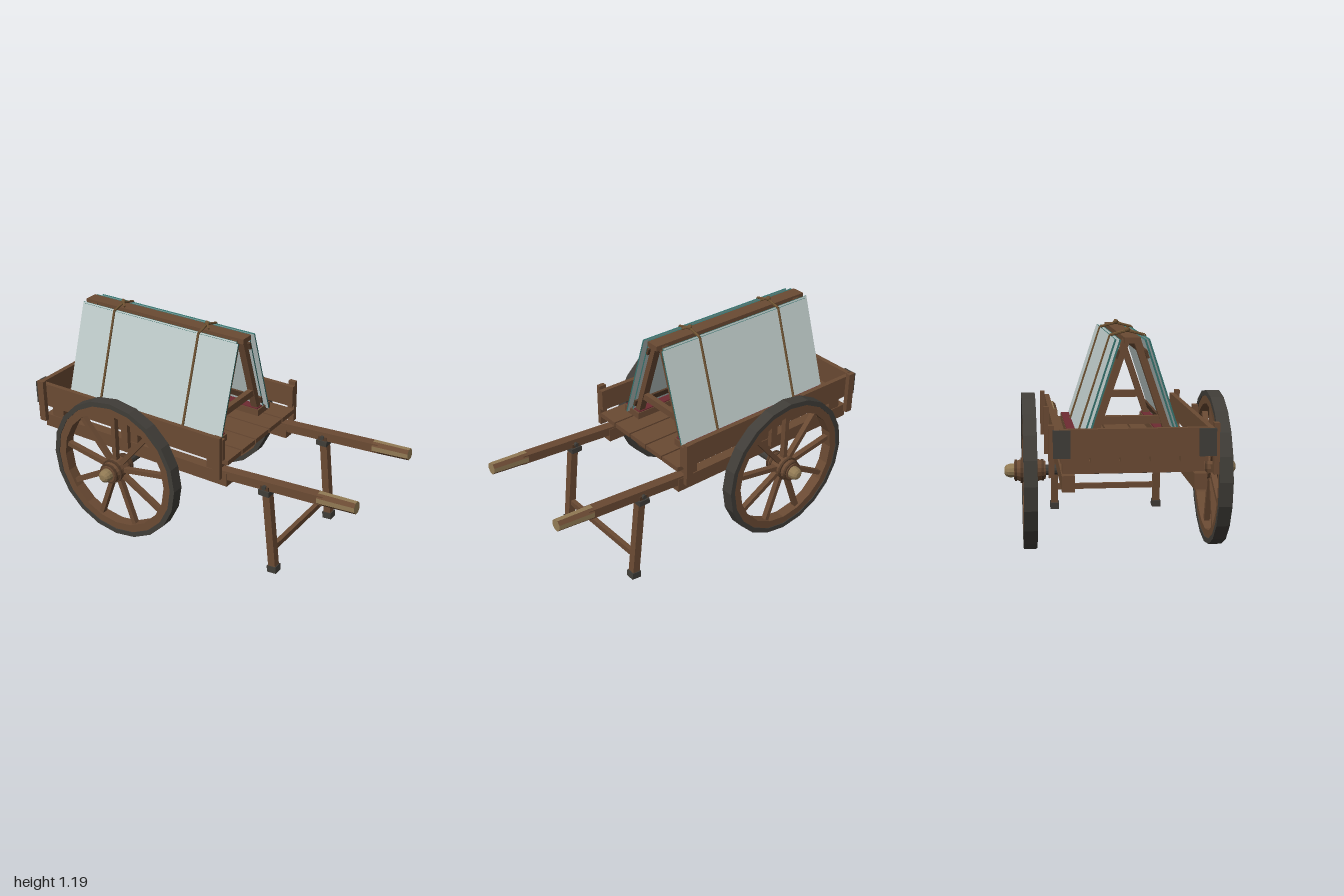
import * as THREE from 'three';

const mat = (name, color) => {
  const m = new THREE.MeshStandardMaterial({ color });
  m.name = name;
  return m;
};

export function createModel() {
  const wood = mat('wood', 0x6a4a33);
  const darkWood = mat('dark wood', 0x533a28);
  const iron = mat('iron', 0x403d38);
  const tan = mat('worn wood', 0x917a54);
  const glass = mat('glass', 0xbecbc9);
  const edge = mat('glass edge', 0x35716c);
  const felt = mat('red felt', 0x6e2b32);
  const rope = mat('rope', 0x6b5030);

  const model = new THREE.Group();
  model.name = 'glassHandcart';

  // Facet a geometry so every side reads flat
  const flat = (g) => {
    const f = g.index ? g.toNonIndexed() : g;
    f.computeVertexNormals();
    return f;
  };
  const add = (name, geo, m, parent = model) => {
    const mesh = new THREE.Mesh(geo, m);
    mesh.name = name;
    parent.add(mesh);
    return mesh;
  };
  // Box given by its limits on each axis
  const box = (name, m, x0, x1, y0, y1, z0, z1, parent = model) => {
    const mesh = add(name, new THREE.BoxGeometry(x1 - x0, y1 - y0, Math.abs(z1 - z0)), m, parent);
    mesh.position.set((x0 + x1) / 2, (y0 + y1) / 2, (z0 + z1) / 2);
    return mesh;
  };
  // Part whose length (local y) runs between two points
  const span = (name, m, a, b, make, parent = model) => {
    const p = new THREE.Vector3(...a), q = new THREE.Vector3(...b);
    const d = q.clone().sub(p);
    const mesh = add(name, make(d.length()), m, parent);
    mesh.position.copy(p).add(q).multiplyScalar(0.5);
    mesh.quaternion.setFromUnitVectors(new THREE.Vector3(0, 1, 0), d.normalize());
    return mesh;
  };
  const bar = (w, d) => (len) => new THREE.BoxGeometry(w, len, d);
  const rod = (r, n = 6) => (len) => flat(new THREE.CylinderGeometry(r, r, len, n));
  const lathe = (points, n) => flat(new THREE.LatheGeometry(points.map((p) => new THREE.Vector2(...p)), n)
    .rotateX(Math.PI / 2));
  const ring = (r0, r1, h, n) => lathe([[r0, -h], [r1, -h], [r1, h], [r0, h], [r0, -h]], n);

  // Bed planks and the cross beams below them
  for (let i = -2; i <= 2; i++) {
    box('bedPlank', wood, -0.98, 0.27, 0.585, 0.612, i * 0.14 - 0.065, i * 0.14 + 0.065);
  }
  for (const x of [-0.89, -0.365, 0.17]) {
    box('crossBeam', wood, x - 0.04, x + 0.04, 0.525, 0.585, -0.335, 0.335);
  }

  // Tailboard
  box('tailboard', wood, -0.985, -0.957, 0.612, 0.745, -0.35, 0.35);

  for (const s of [1, -1]) {
    // Side board with its outer posts and the iron corner strap
    box('sideBoard', wood, -0.985, 0.255, 0.62, 0.742, s * 0.348, s * 0.374);
    for (const x of [-0.95, -0.362, 0.232]) {
      box('sidePost', wood, x - 0.021, x + 0.021, 0.517, 0.762, s * 0.374, s * 0.4);
    }
    box('cornerStrap', iron, -1, -0.985, 0.612, 0.742, s * 0.3, s * 0.376);
    box('cornerStrap', iron, -1, -0.971, 0.612, 0.742, s * 0.374, s * 0.38);

    // Chassis beam and raised shaft
    const z = s * 0.31;
    box('chassisBeam', wood, -0.98, 0.26, 0.45, 0.527, z - 0.03, z + 0.03);
    span('shaft', wood, [0.2, 0.511, z], [0.82, 0.553, z], bar(0.05, 0.055));

    // Eight-sided grip with alternate worn faces
    const grip = new THREE.CylinderGeometry(0.033, 0.036, 1, 8, 1, false, Math.PI / 8);
    grip.clearGroups();
    for (let i = 0; i < 8; i++) grip.addGroup(i * 6, 6, i % 2);
    grip.addGroup(48, 48, 1);
    const gripFlat = flat(grip);
    span('grip', [wood, tan], [0.79, 0.551, z], [0.997, 0.565, z], (len) => gripFlat.scale(1, len, 1));

    // Prop leg with collar and foot
    span('propLeg', wood, [0.49, 0.5, z], [0.54, 0.03, z], bar(0.042, 0.042));
    box('legCollar', iron, 0.458, 0.522, 0.478, 0.508, z - 0.042, z + 0.042);
    box('legBracket', darkWood, 0.466, 0.514, 0.505, 0.53, z - 0.034, z + 0.034);
    span('collarBolt', iron, [0.49, 0.526, z - 0.043], [0.49, 0.526, z + 0.043], rod(0.012, 8));
    const foot = box('legFoot', iron, 0.513, 0.567, 0.006, 0.044, z - 0.026, z + 0.026);
    foot.rotation.z = 0.1;
  }
  box('propRail', wood, 0.512, 0.538, 0.125, 0.157, -0.3, 0.3);

  // Axle and wheels
  const hubX = -0.362, hubY = 0.43;
  span('axle', iron, [hubX, hubY, -0.41], [hubX, hubY, 0.41], rod(0.027, 12));
  for (const s of [1, -1]) {
    const wheel = new THREE.Group();
    wheel.name = 'wheel';
    wheel.position.set(hubX, hubY, s * 0.479);
    if (s < 0) wheel.rotation.y = Math.PI;
    model.add(wheel);
    add('tyre', ring(0.378, 0.406, 0.034, 20), iron, wheel);
    add('rim', ring(0.335, 0.379, 0.03, 20), wood, wheel);
    for (let i = 0; i < 9; i++) {
      const a = Math.PI / 2 + (i * Math.PI * 2) / 9;
      const c = Math.cos(a), n = Math.sin(a);
      span('spoke', wood, [c * 0.04, n * 0.04, 0], [c * 0.345, n * 0.345, 0], bar(0.026, 0.03), wheel);
    }
    add('hub', lathe([[0, -0.085], [0.047, -0.085], [0.054, -0.06], [0.063, -0.03], [0.063, 0.03],
      [0.054, 0.055], [0.047, 0.078], [0, 0.078]], 16), wood, wheel);
    for (const [z, r] of [[-0.07, 0.057], [-0.038, 0.067], [0.038, 0.067], [0.068, 0.057]]) {
      const band = add('hubBand', ring(0.04, r, 0.006, 16), darkWood, wheel);
      band.position.z = z;
    }
    add('hubCap', lathe([[0.036, 0.075], [0.036, 0.1], [0.03, 0.117], [0.018, 0.126], [0, 0.127]], 12), tan, wheel);
  }

  // Rack: A-frames under a ridge beam
  const rack = new THREE.Group();
  rack.name = 'glassRack';
  model.add(rack);
  const tilt = 0.316;
  for (const x of [-0.82, 0.11]) {
    for (const s of [1, -1]) {
      span('rackLeg', wood, [x, 0.612, s * 0.204], [x, 1.14, s * 0.026], bar(0.04, 0.034), rack);
    }
    box('rackTie', wood, x - 0.015, x + 0.015, 0.742, 0.78, -0.15, 0.15, rack);
  }
  box('ridgeBeam', wood, -0.88, 0.165, 1.128, 1.156, -0.038, 0.038, rack);

  for (const s of [1, -1]) {
    // Ledge with felt, and rails that carry the panes
    box('ledge', wood, -0.87, 0.145, 0.612, 0.65, s * 0.16, s * 0.288, rack);
    box('ledgeFelt', felt, -0.86, 0.135, 0.65, 0.656, s * 0.165, s * 0.286, rack);
    for (const [y, z] of [[1.075, 0.07], [0.7, 0.196]]) {
      const rail = box('paneRail', darkWood, -0.86, 0.145, y - 0.02, y + 0.02, s * (z - 0.007), s * (z + 0.007), rack);
      rail.rotation.x = -s * tilt;
    }

    // Two leaning panes with coloured cut edges
    for (const [x0, x1, z] of [[-0.882, 0.14, 0.143], [-0.857, 0.162, 0.163]]) {
      const pane = add('glassPane', new THREE.BoxGeometry(x1 - x0, 0.542, 0.009),
        [edge, edge, edge, edge, glass, glass], rack);
      pane.position.set((x0 + x1) / 2, 0.888, s * z);
      pane.rotation.x = -s * tilt;
    }
  }

  // Ropes tied over the ridge
  for (const x of [-0.645, -0.085]) {
    for (const s of [1, -1]) {
      span('rope', rope, [x, 0.63, s * 0.255], [x, 1.15, s * 0.084], rod(0.007), rack);
      span('rope', rope, [x, 1.15, s * 0.084], [x, 1.172, 0], rod(0.007), rack);
    }
    const knot = add('ropeKnot', flat(new THREE.IcosahedronGeometry(0.014, 1)), rope, rack);
    knot.position.set(x, 1.176, 0);
    span('ropeTail', rope, [x - 0.008, 1.185, -0.006], [x + 0.03, 1.162, 0.03], rod(0.006), rack);
  }

  return model;
}
